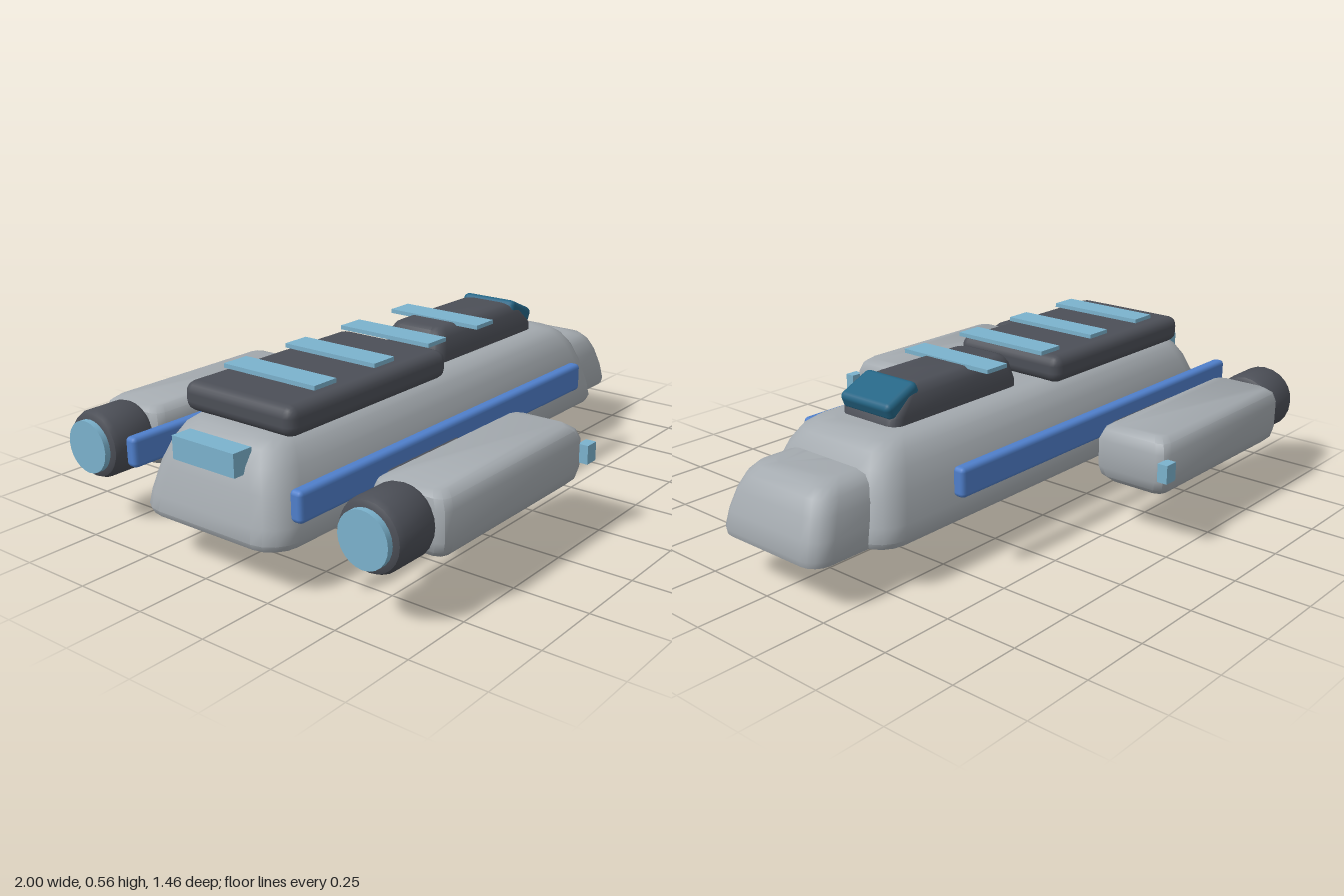
import * as THREE from 'three';
import { toCreasedNormals } from 'three/addons/utils/BufferGeometryUtils.js';
import { RoundedBoxGeometry } from 'three/addons/geometries/RoundedBoxGeometry.js';

const paint = (name, color) => {
  const m = new THREE.MeshStandardMaterial({ color });
  m.name = name;
  return m;
};

// Stack of rounded rectangles, each layer [y, xBack, xFront, halfWidth, cornerRadius]
function loft(layers, steps = 4) {
  const pos = [], idx = [], n = 4 * (steps + 1);
  for (const [y, x0, x1, hz, r] of layers) {
    const corners = [[x1 - r, hz - r], [x0 + r, hz - r], [x0 + r, r - hz], [x1 - r, r - hz]];
    corners.forEach(([cx, cz], q) => {
      for (let s = 0; s <= steps; s++) {
        const a = (q + s / steps) * Math.PI / 2;
        pos.push(cx + r * Math.cos(a), y, cz + r * Math.sin(a));
      }
    });
  }
  const last = layers.length - 1;
  for (let i = 0; i < last; i++) {
    for (let j = 0; j < n; j++) {
      const a = i * n + j, b = i * n + (j + 1) % n;
      idx.push(a, a + n, b, b, a + n, b + n);
    }
  }
  // Flat bottom and top caps
  for (let j = 1; j < n - 1; j++) {
    idx.push(0, j, j + 1);
    idx.push(last * n, last * n + j + 1, last * n + j);
  }
  const g = new THREE.BufferGeometry();
  g.setAttribute('position', new THREE.Float32BufferAttribute(pos, 3));
  g.setIndex(idx);
  return toCreasedNormals(g, 0.7);
}

export function createModel() {
  const model = new THREE.Group();
  const grey = paint('hull grey', 0xa4aaaf);
  const dark = paint('dark grey', 0x4c4f57);
  const blue = paint('rail blue', 0x4f7fcb);
  const light = paint('light blue', 0x7bb2cd);
  const glass = paint('window blue', 0x246585);

  const add = (name, geo, mat, x = 0, y = 0, z = 0) => {
    const mesh = new THREE.Mesh(geo, mat);
    mesh.name = name;
    mesh.position.set(x, y, z);
    model.add(mesh);
    return mesh;
  };
  const box = (w, h, d) => new THREE.BoxGeometry(w, h, d);
  const round = (w, h, d, r) => new RoundedBoxGeometry(w, h, d, 2, r);
  const rod = (r, len, sides = 24) => new THREE.CylinderGeometry(r, r, len, sides).rotateZ(Math.PI / 2);

  // Hull and nose
  add('hull', loft([
    [0.145, -0.99, 0.79, 0.28, 0.09],
    [0.165, -1.0, 0.8, 0.29, 0.1],
    [0.21, -0.99, 0.79, 0.285, 0.1],
    [0.30, -0.965, 0.765, 0.263, 0.1],
    [0.365, -0.94, 0.74, 0.238, 0.1],
    [0.41, -0.91, 0.705, 0.208, 0.09],
    [0.432, -0.88, 0.67, 0.178, 0.08],
    [0.44, -0.84, 0.62, 0.145, 0.07],
  ]), grey);
  add('nose', loft([
    [0.145, 0.6, 0.995, 0.218, 0.06],
    [0.165, 0.6, 1.0, 0.225, 0.07],
    [0.22, 0.6, 0.985, 0.22, 0.07],
    [0.285, 0.6, 0.96, 0.206, 0.07],
    [0.33, 0.6, 0.935, 0.188, 0.07],
    [0.355, 0.6, 0.905, 0.165, 0.06],
    [0.365, 0.6, 0.86, 0.13, 0.05],
  ]), grey);

  // Upper deck and cabin
  add('deckPad', round(0.75, 0.095, 0.445, 0.035), dark, -0.475, 0.482, 0);
  add('cabin', loft([
    [0.42, -0.02, 0.575, 0.125, 0.04],
    [0.465, -0.015, 0.57, 0.125, 0.04],
    [0.52, 0.0, 0.52, 0.115, 0.04],
    [0.543, 0.015, 0.48, 0.1, 0.035],
    [0.551, 0.04, 0.45, 0.085, 0.03],
  ]), dark);
  const windshield = add('windshield', round(0.145, 0.06, 0.222, 0.02), glass, 0.512, 0.509, 0);
  windshield.rotation.z = -0.42;
  const vent = add('windshieldPanel', box(0.045, 0.006, 0.14), dark, 0.506, 0.5405, 0);
  vent.rotation.z = -0.42;

  // Light strips across the roof and stern
  for (let i = 0; i < 4; i++) {
    add('roofLight', box(0.097, 0.014, 0.37), light, -0.66 + 0.275 * i, 0.549, 0);
  }
  add('sternLight', box(0.072, 0.074, 0.25), light, -0.949, 0.38, 0);

  // Rails, pylons, engine pods on both sides
  const engineProfile = [[0, -0.085], [0.09, -0.085], [0.105, -0.078], [0.113, -0.06],
    [0.113, 0.06], [0.105, 0.078], [0.09, 0.085], [0, 0.085]].map(p => new THREE.Vector2(...p));
  const engineGeo = toCreasedNormals(new THREE.LatheGeometry(engineProfile, 24).rotateZ(Math.PI / 2), 0.7);
  for (const s of [1, -1]) {
    add('sideRail', round(1.495, 0.098, 0.045, 0.015), blue, -0.222, 0.306, s * 0.338);
    add('pylon', round(0.37, 0.065, 0.24, 0.02), dark, -0.415, 0.268, s * 0.375);
    add('pod', loft([
      [0.168, -0.75, -0.07, 0.105, 0.03],
      [0.19, -0.77, -0.045, 0.128, 0.035],
      [0.222, -0.775, -0.037, 0.136, 0.035],
      [0.315, -0.775, -0.037, 0.136, 0.035],
      [0.348, -0.768, -0.05, 0.124, 0.035],
      [0.365, -0.745, -0.075, 0.1, 0.03],
    ], 2), grey, 0, 0, s * 0.568);
    add('engine', engineGeo, dark, -0.85, 0.268, s * 0.563);
    add('engineGlow', rod(0.087, 0.03), light, -0.94, 0.268, s * 0.563);
    add('podLight', box(0.05, 0.062, 0.036), light, -0.037, 0.27, s * 0.712);
  }

  // Belly turret with twin barrels
  const turret = add('turret', new THREE.SphereGeometry(0.148, 28, 18), dark, 0.275, 0.1, 0);
  turret.scale.y = 0.1 / 0.148;
  add('barrelMount', round(0.11, 0.09, 0.142, 0.025), grey, 0.405, 0.08, 0);
  for (const s of [1, -1]) add('barrel', rod(0.02, 0.33, 16), grey, 0.605, 0.08, s * 0.033);
  add('muzzleLight', rod(0.036, 0.018), light, 0.776, 0.08, 0);

  return model;
}
